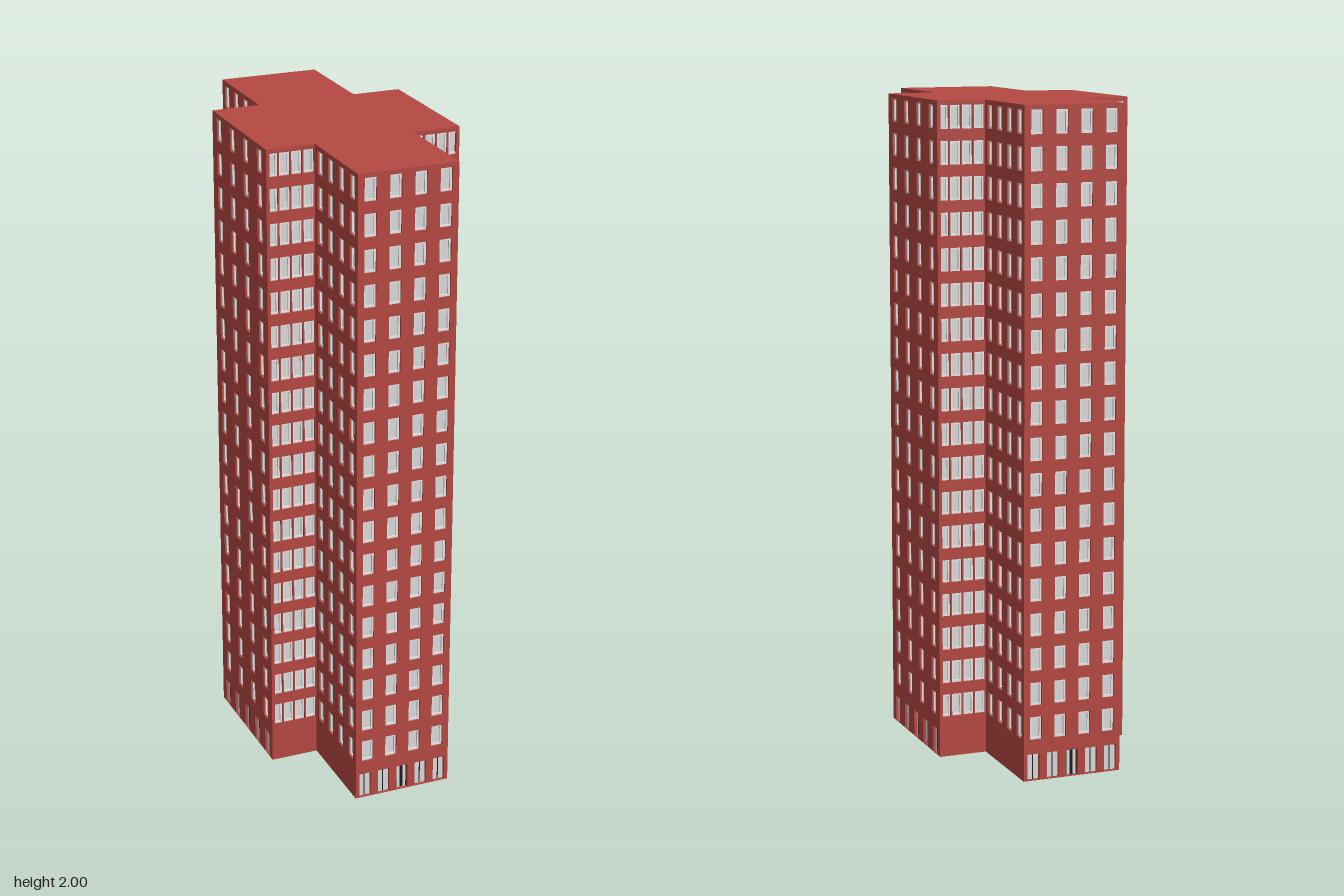
import * as THREE from 'three';
import { mergeGeometries } from 'three/addons/utils/BufferGeometryUtils.js';

const material = (name, color) => new THREE.MeshStandardMaterial({ name, color });

// Plan: a cross with long arms along z and short arms along x
const ARM_X = 0.155, ARM_Z = 0.535, SIDE_X = 0.305, SIDE_Z = 0.22, HEIGHT = 2;
const FLOORS = 18, FIRST_FLOOR = 0.161, FLOOR_STEP = 0.1053, BAYS = 4, DOORS = 5;
const RECESS = 0.01, WINDOW_H = 0.07, DOOR_W = 0.038, DOOR_H = 0.08, DOOR_Y = 0.042;

// Rectangle outline centred on (x, y)
function rectangle(w, h, x, y, Kind = THREE.Path) {
  return new Kind([[-1, -1], [1, -1], [1, 1], [-1, 1]]
    .map(([sx, sy]) => new THREE.Vector2(x + sx * w / 2, y + sy * h / 2)));
}

// Flat rectangle facing +z at depth z
const panel = (w, h, x, y, z) => new THREE.PlaneGeometry(w, h).translate(x, y, z);

export function createModel() {
  const brick = material('brick red', 0xb64841);
  const frameWhite = material('frame white', 0xeeeeee);
  const paneGrey = material('pane light grey', 0xdcdcdc);
  const doorDark = material('door dark', 0x1c1a1a);

  const model = new THREE.Group();
  model.name = 'towerBlock';

  // Roof and underside
  const plan = new THREE.Shape([
    [ARM_X, -ARM_Z], [ARM_X, -SIDE_Z], [SIDE_X, -SIDE_Z], [SIDE_X, SIDE_Z],
    [ARM_X, SIDE_Z], [ARM_X, ARM_Z], [-ARM_X, ARM_Z], [-ARM_X, SIDE_Z],
    [-SIDE_X, SIDE_Z], [-SIDE_X, -SIDE_Z], [-ARM_X, -SIDE_Z], [-ARM_X, -ARM_Z],
  ].map(([x, z]) => new THREE.Vector2(x, z)));
  for (const [name, y, turn] of [['roof', HEIGHT, -1], ['underside', 0, 1]]) {
    const slab = new THREE.Mesh(new THREE.ShapeGeometry(plan), brick);
    slab.name = name;
    slab.rotation.x = turn * Math.PI / 2;
    slab.position.y = y;
    model.add(slab);
  }

  // One wall with recessed windows, and doors along the foot where asked
  function facade(name, width, x, z, angle, hasDoors) {
    const group = new THREE.Group();
    group.name = name;
    group.position.set(x, 0, z);
    group.rotation.y = angle;
    const addPart = (part, geometry, mat) => {
      const mesh = new THREE.Mesh(geometry, mat);
      mesh.name = part;
      group.add(mesh);
    };

    const wall = rectangle(width, HEIGHT, 0, HEIGHT / 2, THREE.Shape);
    const frames = [], panes = [];
    const bay = width / BAYS;
    const w = Math.min(0.037, bay * 0.87);
    for (let floor = 0; floor < FLOORS; floor++) {
      const y = FIRST_FLOOR + floor * FLOOR_STEP;
      for (let i = 0; i < BAYS; i++) {
        const u = (i + 0.5) * bay - width / 2;
        wall.holes.push(rectangle(w, WINDOW_H, u, y));
        const ring = rectangle(w, WINDOW_H, u, y, THREE.Shape);
        ring.holes.push(rectangle(w - 0.012, WINDOW_H - 0.012, u, y));
        frames.push(new THREE.ExtrudeGeometry(ring, { depth: 0.005, bevelEnabled: false })
          .translate(0, 0, -RECESS));
        panes.push(panel(w, WINDOW_H, u, y, -RECESS));
      }
    }
    addPart('windowFrames', mergeGeometries(frames), frameWhite);
    addPart('windowPanes', mergeGeometries(panes), paneGrey);

    if (hasDoors) {
      const backs = [], leaves = [];
      const step = width / DOORS;
      for (let i = 0; i < DOORS; i++) {
        const u = (i + 0.5) * step - width / 2;
        wall.holes.push(rectangle(DOOR_W, DOOR_H, u, DOOR_Y));
        backs.push(panel(DOOR_W, DOOR_H, u, DOOR_Y, -RECESS));
        // The middle entrance has narrower leaves
        const leaf = i === 2 ? 0.01 : 0.016;
        for (const side of [-1, 1]) {
          leaves.push(panel(leaf, DOOR_H - 0.003, u + side * 0.0098, DOOR_Y, -RECESS + 0.003));
        }
      }
      addPart('doorBacks', mergeGeometries(backs), doorDark);
      addPart('doorLeaves', mergeGeometries(leaves), paneGrey);
    }

    const wallGeometry = new THREE.ExtrudeGeometry(wall, { depth: RECESS, bevelEnabled: false });
    addPart('wall', wallGeometry.translate(0, 0, -RECESS), brick);
    model.add(group);
  }

  // End walls of the four arms
  facade('frontFacade', 2 * ARM_X, 0, ARM_Z, 0, true);
  facade('backFacade', 2 * ARM_X, 0, -ARM_Z, Math.PI, true);
  facade('leftFacade', 2 * SIDE_Z, SIDE_X, 0, Math.PI / 2, true);
  facade('rightFacade', 2 * SIDE_Z, -SIDE_X, 0, -Math.PI / 2, true);

  // Two walls in each of the four inner corners
  for (const sx of [1, -1]) {
    for (const sz of [1, -1]) {
      const corner = (sz > 0 ? 'front' : 'back') + (sx > 0 ? 'Left' : 'Right');
      facade(corner + 'ShoulderWall', SIDE_X - ARM_X, sx * (SIDE_X + ARM_X) / 2, sz * SIDE_Z,
        sz > 0 ? 0 : Math.PI, false);
      facade(corner + 'WingWall', ARM_Z - SIDE_Z, sx * ARM_X, sz * (ARM_Z + SIDE_Z) / 2,
        sx * Math.PI / 2, false);
    }
  }
  return model;
}
